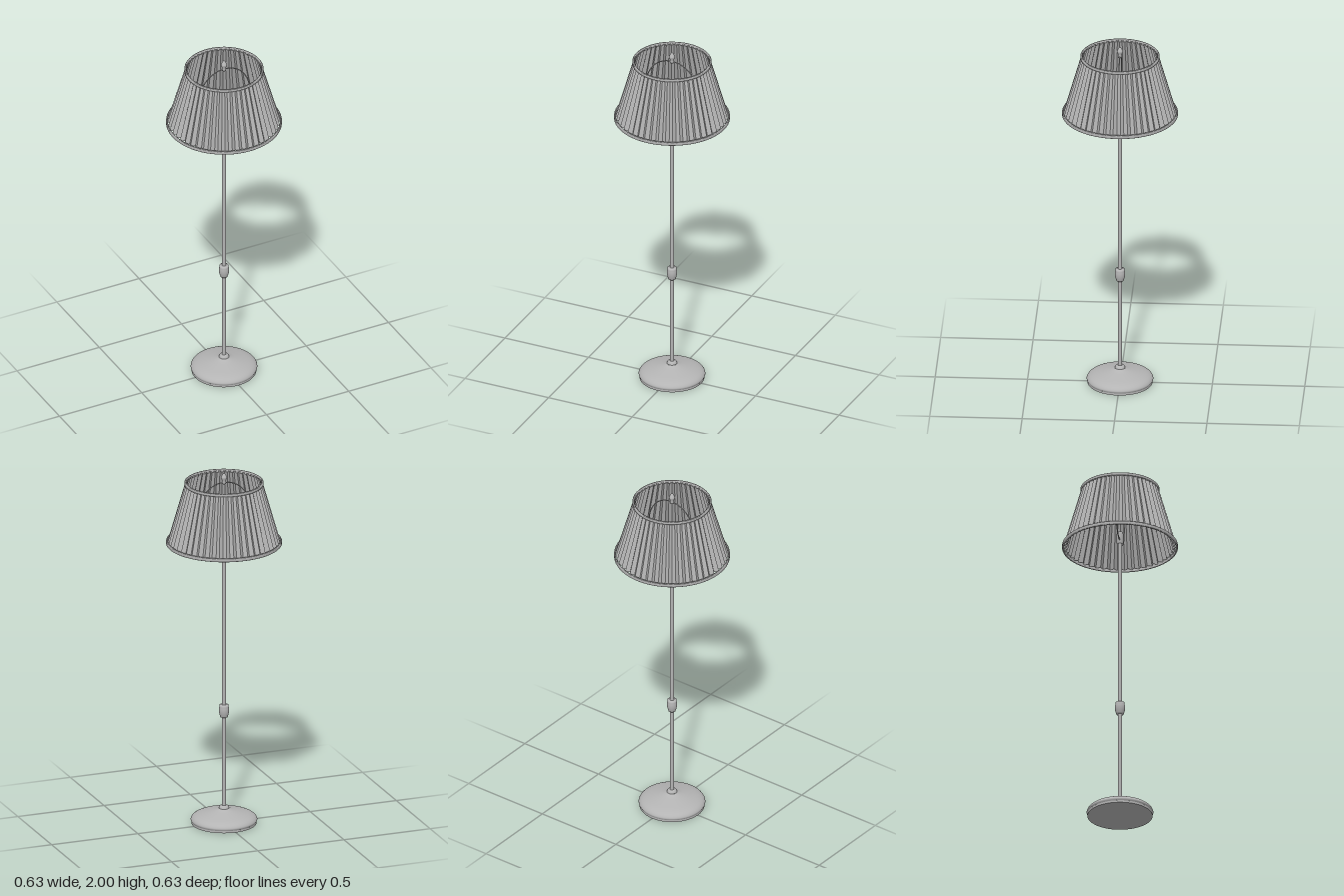
import * as THREE from 'three';

const metal = new THREE.MeshStandardMaterial({ color: 0xb4b4b4 });
metal.name = 'grey';
const cloth = new THREE.MeshStandardMaterial({ color: 0xb4b4b4, side: THREE.DoubleSide, flatShading: true });
cloth.name = 'grey pleats';

const v2 = (pts) => pts.map(([r, y]) => new THREE.Vector2(r, y));

function add(group, name, geometry, material = metal) {
  const mesh = new THREE.Mesh(geometry, material);
  mesh.name = name;
  group.add(mesh);
  return mesh;
}

const lathe = (pts, segments = 48) => new THREE.LatheGeometry(v2(pts), segments);

// Conical skirt folded into zigzag pleats
function pleatedShade(pleats, bottom, top) {
  const pos = [], index = [], n = pleats * 2;
  for (let i = 0; i <= n; i++) {
    const a = (i / n) * Math.PI * 2;
    for (const ring of [bottom, top]) {
      const r = i % 2 ? ring.outer : ring.inner;
      pos.push(r * Math.sin(a), ring.y, r * Math.cos(a));
    }
    if (i < n) {
      const k = i * 2;
      index.push(k, k + 2, k + 3, k, k + 3, k + 1);
    }
  }
  const g = new THREE.BufferGeometry();
  g.setAttribute('position', new THREE.Float32BufferAttribute(pos, 3));
  g.setIndex(index);
  g.computeVertexNormals();
  return g;
}

// Rounded band closing one edge of the shade
function band(inner, outer, y0, y1) {
  const c = 0.003;
  return lathe([
    [inner, y0], [outer - c, y0], [outer, y0 + c], [outer, y1 - c],
    [outer - c, y1], [inner, y1], [inner, y0],
  ], 64);
}

export function createModel() {
  const lamp = new THREE.Group();
  lamp.name = 'floorLamp';

  // Domed foot: flat underside, thin rim, swept dome, then a small neck
  add(lamp, 'baseUnderside', lathe([[0, 0], [0.176, 0]]));
  add(lamp, 'baseRim', lathe([[0.176, 0], [0.176, 0.012]]));
  const dome = new THREE.SplineCurve(v2([
    [0.176, 0.012], [0.18, 0.024], [0.168, 0.04], [0.14, 0.053],
    [0.09, 0.066], [0.05, 0.076], [0.028, 0.085],
  ])).getPoints(24);
  add(lamp, 'baseDome', new THREE.LatheGeometry(dome, 64));
  add(lamp, 'baseNeck', lathe([[0.028, 0.085], [0.025, 0.094], [0.019, 0.1], [0.011, 0.101]], 32));

  // Pole with its joint
  const pole = add(lamp, 'pole', new THREE.CylinderGeometry(0.012, 0.012, 1.56, 24));
  pole.position.y = 0.87;
  add(lamp, 'poleJoint', lathe([
    [0.011, 0.605], [0.02, 0.605], [0.021, 0.612], [0.025, 0.622], [0.028, 0.64],
    [0.027, 0.655], [0.025, 0.663], [0.025, 0.674], [0.011, 0.676],
  ], 32));

  // Socket and wire harp that carry the shade
  add(lamp, 'socket', lathe([
    [0.011, 1.62], [0.018, 1.625], [0.018, 1.68], [0.014, 1.69], [0, 1.69],
  ], 24));
  const half = [[0.015, 1.64], [0.07, 1.645], [0.13, 1.69], [0.155, 1.76], [0.142, 1.84], [0.1, 1.905], [0.045, 1.938]];
  const path = [...half, [0, 1.944], ...half.slice().reverse().map(([x, y]) => [-x, y])]
    .map(([x, y]) => new THREE.Vector3(x, y, 0));
  add(lamp, 'harp', new THREE.TubeGeometry(new THREE.CatmullRomCurve3(path), 80, 0.003, 8));

  // Pointed finial
  add(lamp, 'finial', lathe([
    [0, 1.938], [0.012, 1.938], [0.012, 1.95], [0.01, 1.955], [0.016, 1.97],
    [0.016, 1.976], [0.009, 1.99], [0.003, 1.999], [0, 2.0],
  ], 24));

  // Shade
  add(lamp, 'shade', pleatedShade(48,
    { y: 1.605, inner: 0.286, outer: 0.305 },
    { y: 1.943, inner: 0.197, outer: 0.209 }), cloth);
  add(lamp, 'shadeBottomBand', band(0.304, 0.313, 1.595, 1.615));
  add(lamp, 'shadeTopBand', band(0.204, 0.214, 1.933, 1.95));

  return lamp;
}
